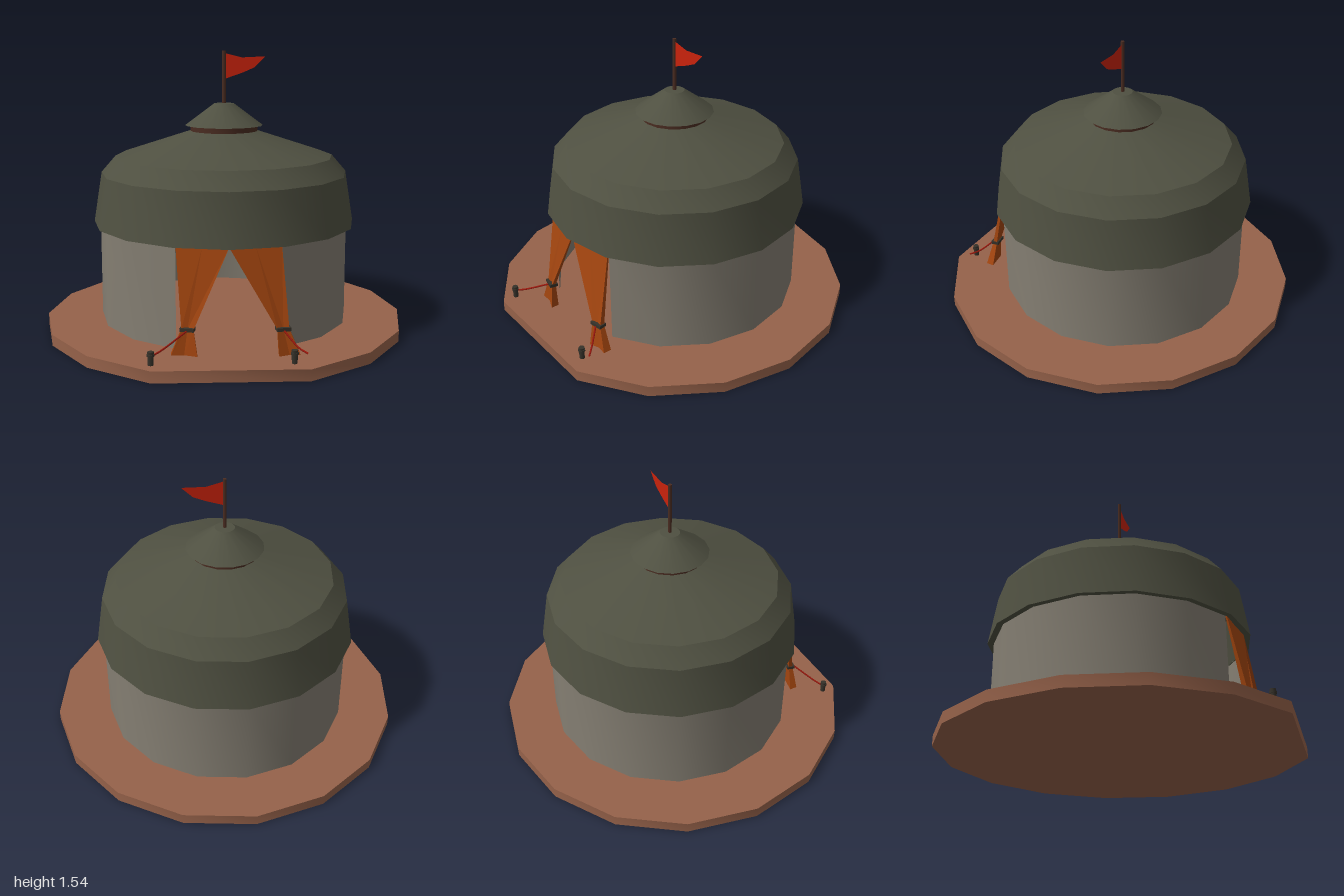
import * as THREE from 'three';
import { toCreasedNormals } from 'three/addons/utils/BufferGeometryUtils.js';

const CZ = 0.012; // tent axis sits slightly forward of the platform's bounds centre

function material(name, color, side = THREE.FrontSide) {
  const m = new THREE.MeshStandardMaterial({ color, side });
  m.name = name;
  return m;
}

export function createModel() {
  const group = new THREE.Group();
  const clay = material('clay brown', 0x96624a);
  const canvas = material('grey canvas', 0x847e72, THREE.DoubleSide);
  const felt = material('dark olive felt', 0x4f5041, THREE.DoubleSide);
  const orange = material('burnt orange cloth', 0xa3450f, THREE.DoubleSide);
  const wood = material('dark wood', 0x4a2c21);
  const iron = material('dark fittings', 0x36322a);
  const red = material('flag red', 0xc9220c, THREE.DoubleSide);
  const ropeRed = material('rope red', 0x9c170c);

  function add(name, geometry, mat, x = 0, y = 0, z = 0) {
    const mesh = new THREE.Mesh(geometry, mat);
    mesh.name = name;
    mesh.position.set(x, y, z);
    group.add(mesh);
    return mesh;
  }
  function lathe(points, segments = 16, start = 0, length = Math.PI * 2) {
    const profile = points.map(([r, y]) => new THREE.Vector2(r, y));
    return toCreasedNormals(new THREE.LatheGeometry(profile, segments, start, length), 0.45);
  }

  // Platform: sixteen-sided disc with its front corner cut straight across
  const corners = [];
  for (let i = 1; i < 16; i++) {
    const a = (i / 16) * Math.PI * 2;
    corners.push(new THREE.Vector2(Math.sin(a), -0.035 - Math.cos(a)));
  }
  const disc = new THREE.ExtrudeGeometry(new THREE.Shape(corners), { depth: 0.06, bevelEnabled: false });
  disc.rotateX(-Math.PI / 2);
  add('platform', toCreasedNormals(disc, 0.65), clay);

  // Round wall, open over the two front segments
  add('wall', lathe([[0.695, 0.06], [0.695, 0.6]], 14, Math.PI / 8, Math.PI * 1.75), canvas, 0, 0, CZ);

  // Roof with skirt, shoulder and shallow cone
  add('roof', lathe([[0.69, 0.595], [0.73, 0.592], [0.685, 0.87], [0.605, 0.962], [0.185, 1.1]]), felt, 0, 0, CZ);

  // Smoke vent collar and its cap
  add('ventCollar', lathe([[0.187, 1.085], [0.187, 1.132]]), wood, 0, 0, CZ);
  add('ventCap', lathe([[0, 1.13], [0.216, 1.13], [0.055, 1.25], [0, 1.252]]), felt, 0, 0, CZ);

  // Flag and pole
  add('flagPole', new THREE.CylinderGeometry(0.01, 0.01, 0.3, 8), wood, 0, 1.39, CZ);
  const pennant = new THREE.Shape();
  pennant.moveTo(0.005, 1.385);
  pennant.lineTo(0.1, 1.418);
  pennant.lineTo(0.168, 1.447);
  pennant.lineTo(0.23, 1.508);
  pennant.lineTo(0.1, 1.502);
  pennant.lineTo(0.005, 1.525);
  add('flag', new THREE.ShapeGeometry(pennant), red, 0, 0, CZ);

  // Curtain lofted through rows of [y, xa, za, xb, zb, thickness], with a front pleat
  function curtain(rows) {
    const rings = rows.map(([y, xa, za, xb, zb, t]) => [
      [xa, y, za + t / 2],
      [(xa + xb) / 2, y, (za + zb) / 2 + t * 0.2],
      [xb, y, zb + t / 2],
      [xb, y, zb - t / 2],
      [xa, y, za - t / 2],
    ]);
    const pos = [];
    for (let r = 0; r < rings.length - 1; r++) {
      for (let i = 0; i < 5; i++) {
        const j = (i + 1) % 5;
        const [a, b, c, d] = [rings[r][i], rings[r][j], rings[r + 1][j], rings[r + 1][i]];
        pos.push(...a, ...b, ...c, ...a, ...c, ...d);
      }
    }
    const g = new THREE.BufferGeometry();
    g.setAttribute('position', new THREE.Float32BufferAttribute(pos, 3));
    g.computeVertexNormals();
    return g;
  }
  add('rightCurtain', curtain([
    [0.06, -0.29, 0.725, -0.16, 0.752, 0.045],
    [0.19, -0.238, 0.727, -0.178, 0.74, 0.025],
    [0.595, -0.265, 0.657, 0, 0.702, 0.008],
  ]), orange);
  add('leftCurtain', curtain([
    [0.06, 0.245, 0.762, 0.352, 0.745, 0.045],
    [0.19, 0.237, 0.745, 0.297, 0.735, 0.025],
    [0.595, 0, 0.702, 0.265, 0.657, 0.008],
  ]), orange);

  // Tie bands, stakes and ropes; the two sides hang a little differently
  const sides = [
    { name: 'right', tie: [-0.208, 0.734], turn: -0.22, stake: -0.385, sag: [-0.34, 0.117, 0.842], end: [-0.39, 0.1, 0.875] },
    { name: 'left', tie: [0.267, 0.74], turn: 0.16, stake: 0.31, sag: [0.335, 0.122, 0.83], end: [0.377, 0.107, 0.875] },
  ];
  for (const s of sides) {
    const band = new THREE.BoxGeometry(0.072, 0.018, 0.045);
    add(s.name + 'TieBand', band, iron, s.tie[0], 0.19, s.tie[1]).rotation.y = s.turn;
    add(s.name + 'Stake', new THREE.CylinderGeometry(0.016, 0.014, 0.07, 8), iron, s.stake, 0.093, 0.877);
    add(s.name + 'StakeCollar', new THREE.CylinderGeometry(0.019, 0.019, 0.012, 8), iron, s.stake, 0.11, 0.877);
    const path = new THREE.CatmullRomCurve3([
      new THREE.Vector3(s.tie[0], 0.188, s.tie[1] + 0.015),
      new THREE.Vector3(...s.sag),
      new THREE.Vector3(...s.end),
    ]);
    add(s.name + 'Rope', new THREE.TubeGeometry(path, 8, 0.005, 5), ropeRed);
  }
  return group;
}
